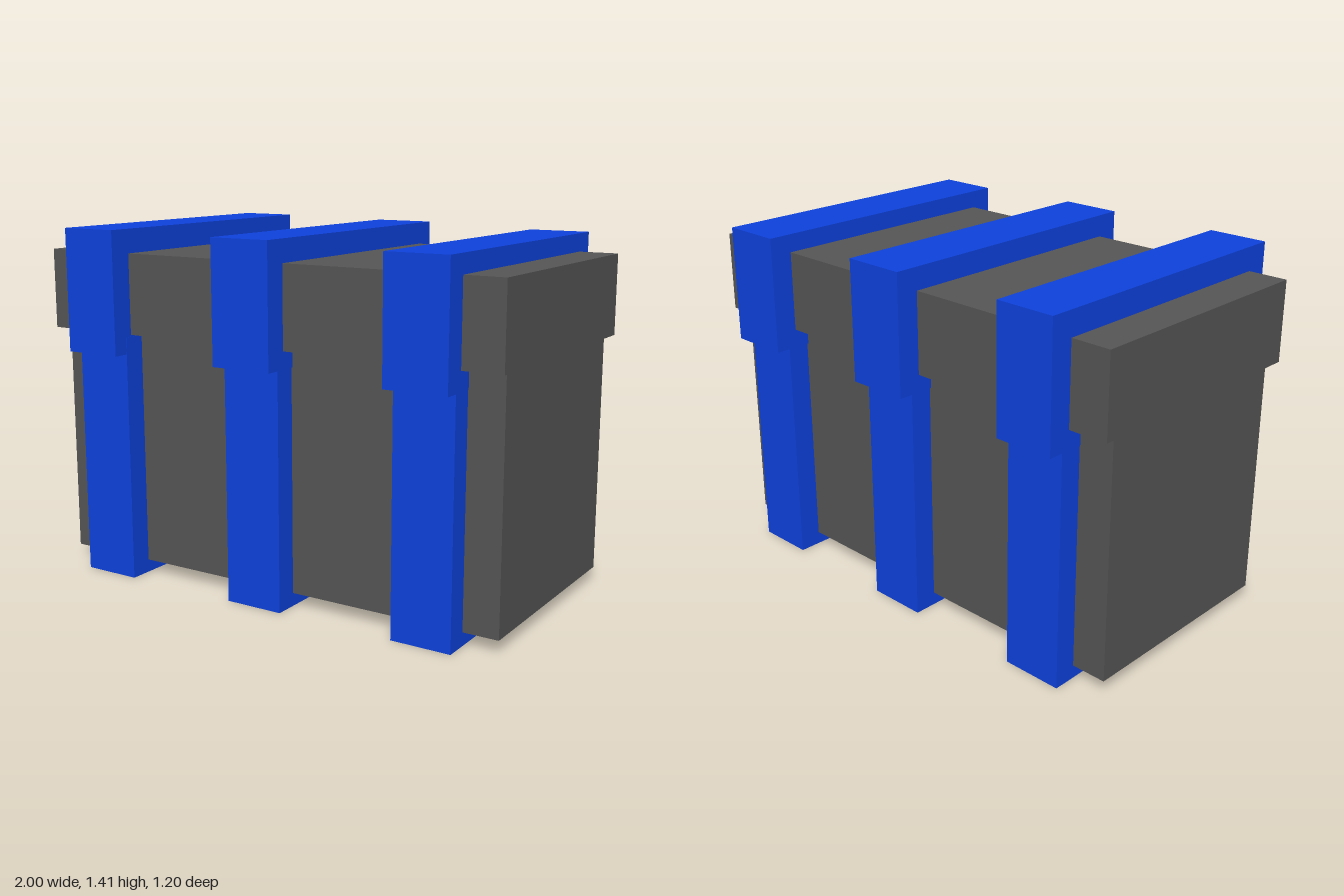
import * as THREE from 'three';

export function createModel() {
  const group = new THREE.Group();
  const grey = new THREE.MeshStandardMaterial({ color: 0x555555, flatShading: true });
  const blue = new THREE.MeshStandardMaterial({ color: 0x0d41dc, flatShading: true });

  // Box spanning x0..x1 and y0..y1, symmetric in z
  function block(name, material, x0, x1, y0, y1, halfDepth) {
    const mesh = new THREE.Mesh(new THREE.BoxGeometry(x1 - x0, y1 - y0, halfDepth * 2), material);
    mesh.position.set((x0 + x1) / 2, (y0 + y1) / 2, 0);
    mesh.name = name;
    group.add(mesh);
  }

  // Chest body and overhanging lid, with a hairline gap between them
  block('body', grey, -0.98, 0.98, 0.052, 0.989, 0.45);
  block('lid', grey, -1, 1, 0.996, 1.315, 0.51);

  // Three bands: a lower strap round the body and a wider cap round the lid
  const bands = [
    { name: 'right', strap: [-0.84, -0.6], cap: [-0.842, -0.602], bottom: 0.922, top: 1.41 },
    { name: 'middle', strap: [-0.12, 0.12], cap: [-0.127, 0.124], bottom: 0.928, top: 1.403 },
    { name: 'left', strap: [0.6, 0.84], cap: [0.593, 0.842], bottom: 0.922, top: 1.387 },
  ];
  for (const { name, strap, cap, bottom, top } of bands) {
    block(`${name}BodyBand`, blue, ...strap, 0, 0.989, 0.54);
    block(`${name}LidBand`, blue, ...cap, bottom, top, 0.602);
  }
  return group;
}
